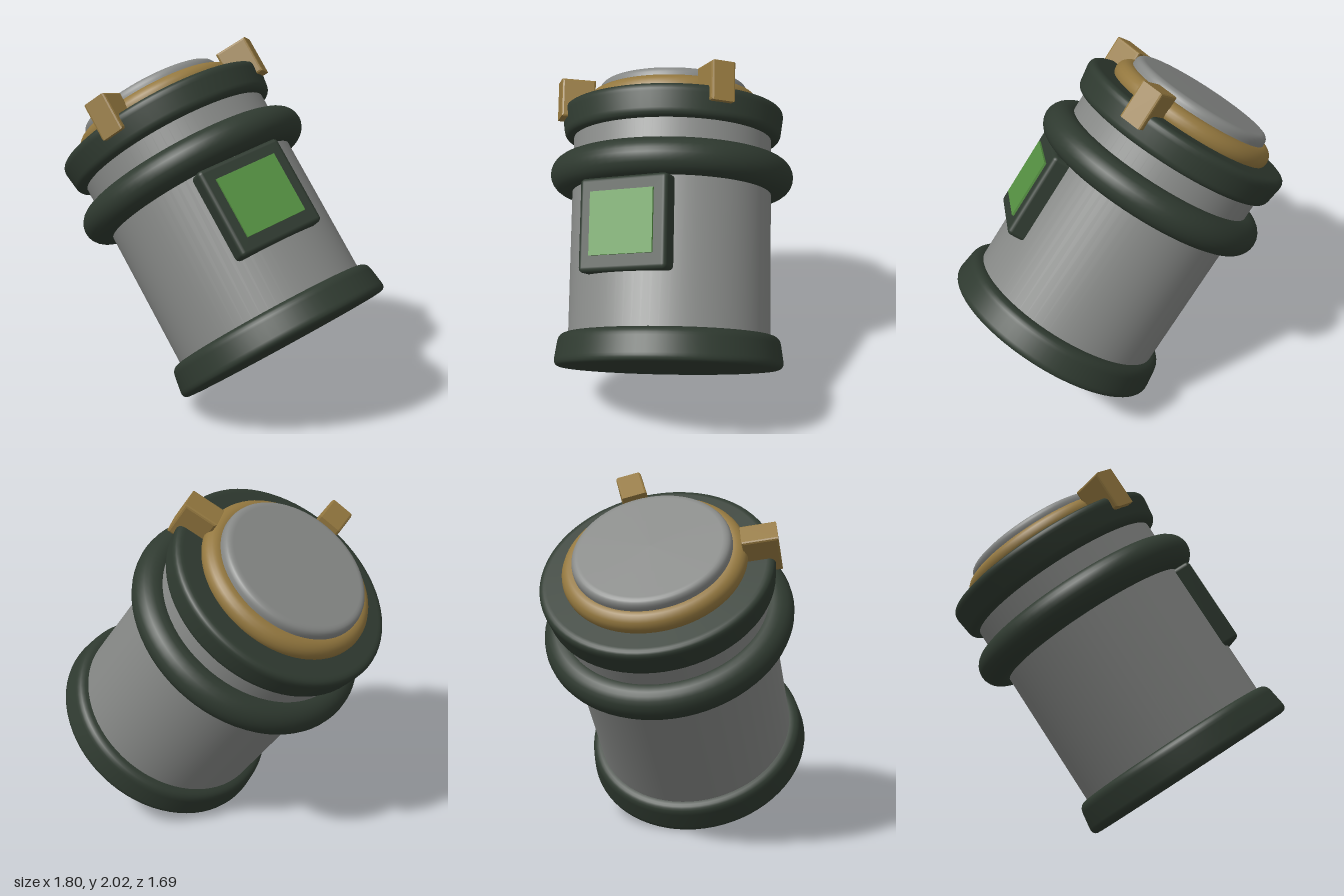
import * as THREE from 'three';
import { RoundedBoxGeometry } from 'three/addons/geometries/RoundedBoxGeometry.js';

const material = (name, color) => new THREE.MeshStandardMaterial({ name, color });

// Turned solid: corners are [radius, height, rounding], listed from bottom to top
function turned(corners) {
  const points = [];
  corners.forEach(([r, y, round], i) => {
    const here = new THREE.Vector2(r, y);
    if (!round) return points.push(here);
    const toward = (c) => {
      const d = new THREE.Vector2(c[0], c[1]).sub(here);
      return here.clone().addScaledVector(d.normalize(), round);
    };
    const curve = new THREE.QuadraticBezierCurve(toward(corners[i - 1]), here, toward(corners[i + 1]));
    points.push(...curve.getPoints(6));
  });
  return new THREE.LatheGeometry(points, 72);
}

export function createModel() {
  const grey = material('grey metal', 0x868886);
  const dark = material('dark green rubber', 0x2f3a30);
  const brass = material('brass', 0x94783f);
  const green = material('bright green', 0x559142);

  const canister = new THREE.Group();
  canister.name = 'canister';
  const add = (name, geometry, mat, parent = canister) => {
    const mesh = new THREE.Mesh(geometry, mat);
    mesh.name = name;
    parent.add(mesh);
    return mesh;
  };

  // Body and end bands
  add('body', new THREE.CylinderGeometry(0.565, 0.565, 1.3, 72, 1, true), grey);
  add('baseBand', turned([
    [0, -0.725], [0.645, -0.725, 0.045], [0.618, -0.54, 0.05], [0.5, -0.54],
  ]), dark);
  add('lidBand', turned([
    [0.5, 0.574], [0.614, 0.574, 0.04], [0.638, 0.75, 0.05], [0, 0.75],
  ]), dark);

  // Thick ring around the shoulder
  const ring = add('shoulderRing', new THREE.TorusGeometry(0.59, 0.1, 24, 72), dark);
  ring.rotation.x = Math.PI / 2;
  ring.position.y = 0.358;

  // Raised cap with brass collar
  const collar = add('capCollar', new THREE.TorusGeometry(0.43, 0.065, 20, 72), brass);
  collar.rotation.x = Math.PI / 2;
  collar.position.y = 0.78;
  add('cap', turned([[0.425, 0.7], [0.425, 0.9, 0.045], [0, 0.9]]), grey);

  // Front window panel
  const frame = add('windowFrame', new RoundedBoxGeometry(0.52, 0.51, 0.15, 3, 0.025), dark);
  frame.position.set(0, 0.004, 0.525);
  const pane = add('windowPane', new THREE.BoxGeometry(0.375, 0.345, 0.03), green);
  pane.position.set(0, 0.008, 0.597);

  // Hooked clips over the lid edge
  const hook = new THREE.Shape([
    [0.48, 0.74], [0.61, 0.74], [0.61, 0.67], [0.647, 0.67], [0.647, 0.865], [0.48, 0.865],
  ].map(([r, y]) => new THREE.Vector2(r, y)));
  const clipGeometry = new THREE.ExtrudeGeometry(hook, {
    depth: 0.116, bevelEnabled: true, bevelSize: 0.012, bevelThickness: 0.012, bevelSegments: 2,
  });
  clipGeometry.translate(0, 0, -0.058).rotateY(-Math.PI / 2);
  for (const [name, side] of [['leftClip', 1], ['rightClip', -1]]) {
    add(name, clipGeometry, brass).rotation.y = side * THREE.MathUtils.degToRad(50);
  }

  // Lean the canister: up is its long axis, out is the window direction
  const up = new THREE.Vector3(-0.481, 0.802, -0.355).normalize();
  const out = new THREE.Vector3(0.341, 0.545, 0.766);
  const across = new THREE.Vector3().crossVectors(up, out).normalize();
  out.crossVectors(across, up);
  canister.quaternion.setFromRotationMatrix(new THREE.Matrix4().makeBasis(across, up, out));
  canister.position.y = 0.95;

  const model = new THREE.Group();
  model.name = 'tiltedCanister';
  model.add(canister);
  return model;
}
